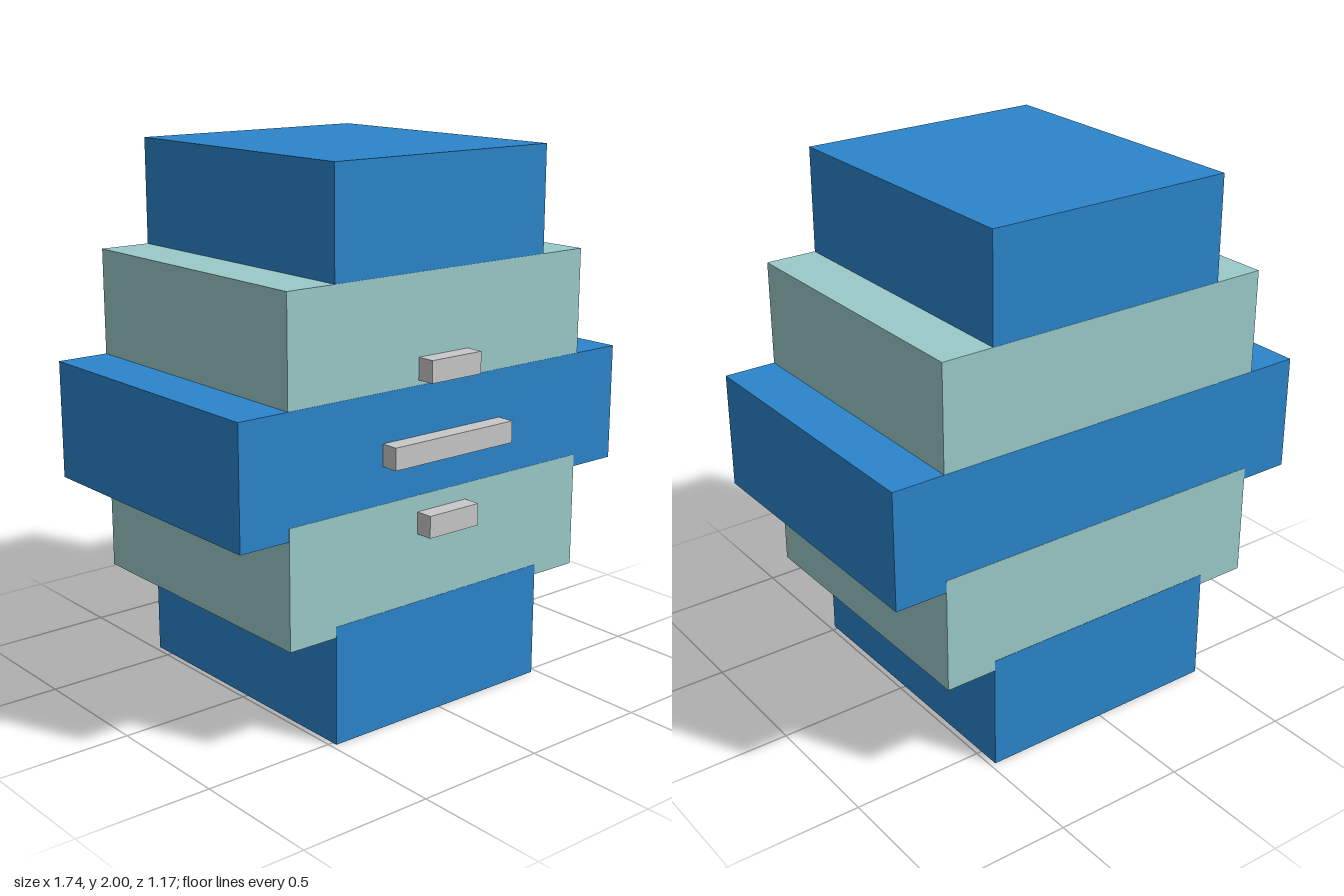
import * as THREE from 'three';

export function createModel() {
  const group = new THREE.Group();
  const blue = new THREE.MeshStandardMaterial({ color: 0x2b85cb });
  blue.name = 'blue';
  const paleGreen = new THREE.MeshStandardMaterial({ color: 0x9acac9 });
  paleGreen.name = 'paleGreen';
  const grey = new THREE.MeshStandardMaterial({ color: 0xc9c8c9 });
  grey.name = 'grey';

  function box(name, material, halfWidth, y0, y1, z0, z1) {
    const mesh = new THREE.Mesh(new THREE.BoxGeometry(2 * halfWidth, y1 - y0, z1 - z0), material);
    mesh.position.set(0, (y0 + y1) / 2, (z0 + z1) / 2);
    mesh.name = name;
    group.add(mesh);
  }

  // Overlapping drawers, each a hair shallower than the one below to keep faces apart
  const drawers = [
    ['bottomDrawer', blue, 0.48, 0, 0.435],
    ['lowerDrawer', paleGreen, 0.675, 0.395, 0.828],
    ['middleDrawer', blue, 0.872, 0.782, 1.22],
    ['upperDrawer', paleGreen, 0.675, 1.175, 1.61],
    ['topDrawer', blue, 0.48, 1.57, 2],
  ];
  drawers.forEach(([name, material, halfWidth, y0, y1], i) => {
    const inset = i * 0.001;
    box(name, material, halfWidth, y0, y1, -0.585 + inset, 0.52 - inset);
  });

  // Bar handles on the three inner drawers
  box('lowerHandle', grey, 0.114, 0.687, 0.768, 0.51, 0.585);
  box('middleHandle', grey, 0.274, 0.962, 1.042, 0.51, 0.585);
  box('upperHandle', grey, 0.114, 1.238, 1.318, 0.51, 0.585);

  return group;
}
